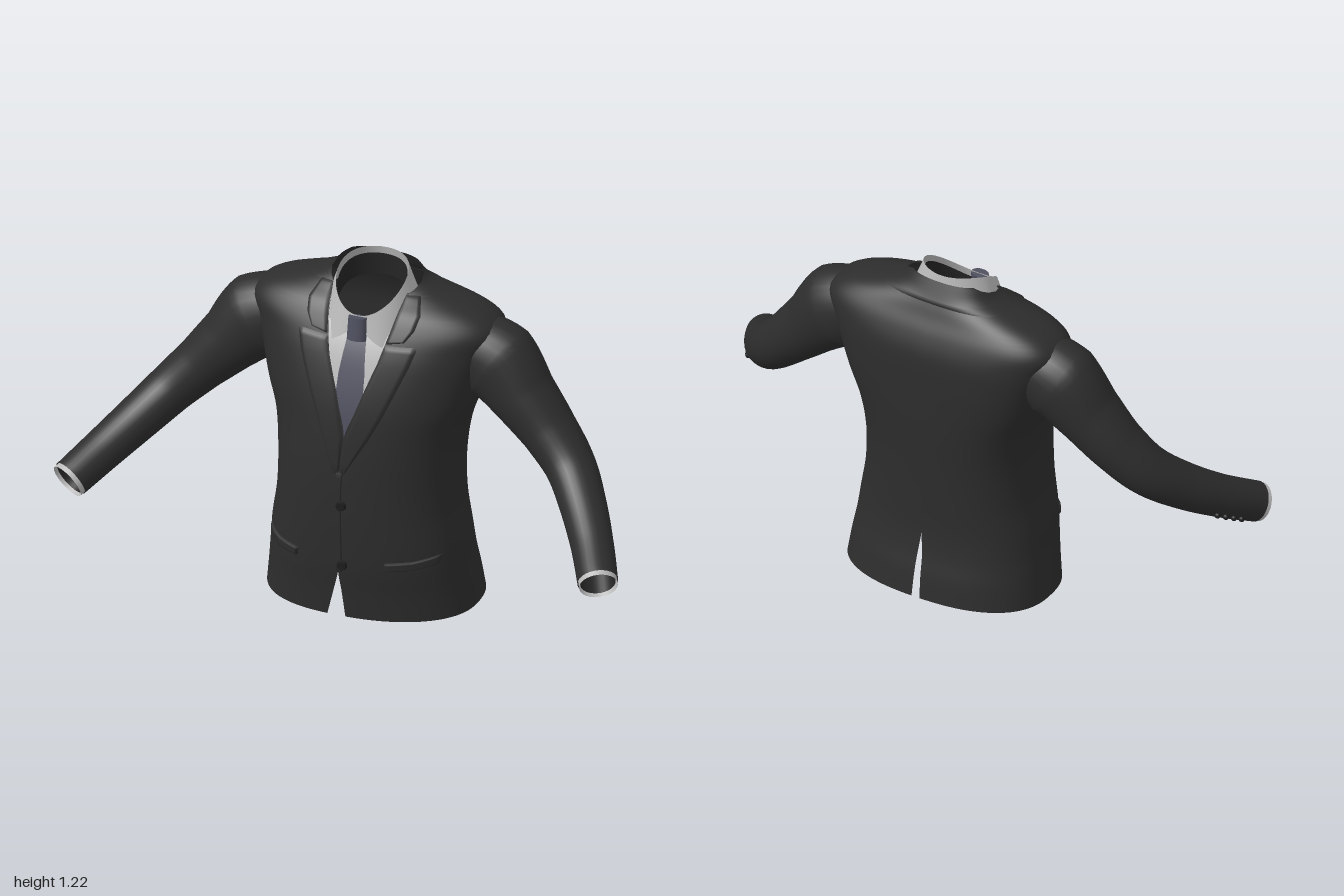
import * as THREE from 'three';

const mat = (name, color) => {
  const m = new THREE.MeshStandardMaterial({ color, side: THREE.DoubleSide });
  m.name = name;
  return m;
};

// Torso profile by height: y, half width, front z, back z, front gap, back gap
const ROWS = [
  [0.00, 0.364, 0.155, -0.337, 0.032, 0.015],
  [0.10, 0.352, 0.166, -0.325, 0.014, 0.012],
  [0.18, 0.342, 0.178, -0.310, 0, 0.009],
  [0.27, 0.332, 0.185, -0.298, 0, 0],
  [0.40, 0.312, 0.190, -0.297, 0, 0],
  [0.55, 0.310, 0.188, -0.300, 0, 0],
  [0.68, 0.325, 0.178, -0.305, 0, 0],
  [0.78, 0.358, 0.163, -0.306, 0.030, 0],
  [0.88, 0.385, 0.137, -0.305, 0.064, 0],
  [0.97, 0.412, 0.104, -0.297, 0.095, 0],
  [1.04, 0.430, 0.066, -0.272, 0.110, 0],
  [1.09, 0.365, 0.030, -0.245, 0.119, 0],
  [1.12, 0.272, -0.003, -0.230, 0.124, 0],
  [1.15, 0.180, -0.025, -0.213, 0.127, 0],
  [1.20, 0.137, -0.030, -0.187, 0.127, 0],
];
const { lerp, clamp, smoothstep } = THREE.MathUtils;
const profile = new THREE.CubicInterpolant(ROWS.map(r => r[0]), ROWS.flatMap(r => r.slice(1)), 5, new Float32Array(5));
const FRONT_POWER = 2.35;
// The back is flatter across the shoulder blades
const backPower = y => 2.4 + 0.7 * smoothstep(y, 0.5, 0.9) * (1 - smoothstep(y, 1.06, 1.16));
// The front edge lies off centre towards the hem
const shift = y => -0.025 * (1 - smoothstep(y, 0.45, 0.8)) - 0.018 * Math.max(0, 1 - y / 0.2);

// Point on the torso; t runs from 0 (front) to PI (back) on side s
function torsoPoint(t, y, s, off = 0) {
  const [a, zf, zb] = profile.evaluate(y);
  const c = Math.cos(t), h = (zf - zb) / 2 + off;
  const e = 2 / (c > 0 ? FRONT_POWER : backPower(y));
  const x = (a + off) * Math.max(0, Math.sin(t)) ** e;
  const z = (zf + zb) / 2 + h * Math.sign(c) * Math.abs(c) ** e;
  const hem = Math.max(0, 1 - y / 0.2) * 0.03 * (0.5 - 0.5 * c);
  return [s * x + shift(y) * Math.max(0, c) ** 2, y + hem, z];
}
// Angles of the front opening and of the back vent; the neck edge slopes to the back
function frontEdge(y) {
  const [a, , , w] = profile.evaluate(y);
  const t = Math.asin(clamp(w / a, 0, 1) ** (FRONT_POWER / 2));
  return lerp(t, 2.2, clamp((y - 1.14) / 0.06, 0, 1));
}
function backEdge(y) {
  const [a, , , , wb] = profile.evaluate(y);
  return Math.PI - Math.asin(clamp(wb / a, 0, 1) ** (backPower(y) / 2));
}
// Point on the torso front above a given x
function frontPoint(x, y, off) {
  const [a, zf, zb] = profile.evaluate(y);
  const k = 1 - Math.min(1, Math.abs(x) / a) ** FRONT_POWER;
  return [x + shift(y) * k, y, (zf + zb) / 2 + (zf - zb) / 2 * k ** (1 / FRONT_POWER) + off];
}

// Smooth sheet from a rule f(u, v) -> [x, y, z]; quads wholly hidden are left out
function sheet(name, material, nu, nv, f, wrap = false, hidden = () => false) {
  const points = [], idx = [], cols = wrap ? nu : nu + 1;
  for (let j = 0; j <= nv; j++) for (let i = 0; i < cols; i++) points.push(f(i / nu, j / nv));
  const hide = points.map(hidden);
  for (let j = 0; j < nv; j++) for (let i = 0; i < nu; i++) {
    const a = j * cols + i, b = j * cols + (i + 1) % cols;
    if (hide[a] && hide[b] && hide[a + cols] && hide[b + cols]) continue;
    idx.push(a, b, a + cols, b, b + cols, a + cols);
  }
  const g = new THREE.BufferGeometry();
  g.setAttribute('position', new THREE.Float32BufferAttribute(points.flat(), 3));
  g.setIndex(idx);
  g.computeVertexNormals();
  const mesh = new THREE.Mesh(g, material);
  mesh.name = name;
  return mesh;
}

// Position along a polyline with evenly spaced parameters
function along(line, v) {
  const k = Math.min(line.length - 2, Math.floor(v * (line.length - 1)));
  const f = v * (line.length - 1) - k;
  return line[k].map((p, i) => lerp(p, line[k + 1][i], f));
}
// Piece lying on the torso front between two edge lines; raised pieces turn down at the rim
function patch(name, material, edgeA, edgeB, off, s = 1) {
  return sheet(name, material, 10, 24, (u, v) => {
    const A = along(edgeA, v), B = along(edgeB, v);
    const rim = off > 0 && (u === 0 || u === 1 || v === 0 || v === 1);
    return frontPoint(s * lerp(A[0], B[0], u), lerp(A[1], B[1], u), rim ? -0.002 : off);
  });
}

// Sleeve path: x, y, z, radius across, radius in depth
const ARM = [
  [0.335, 0.955, -0.113, 0.124, 0.116],
  [0.425, 0.908, -0.110, 0.147, 0.122],
  [0.522, 0.808, -0.096, 0.112, 0.110],
  [0.620, 0.705, -0.078, 0.093, 0.098],
  [0.710, 0.613, -0.038, 0.083, 0.088],
  [0.790, 0.530, 0.048, 0.077, 0.080],
  [0.870, 0.450, 0.160, 0.071, 0.072],
  [0.938, 0.383, 0.275, 0.067, 0.068],
];
const armCurve = new THREE.CatmullRomCurve3(ARM.map(p => new THREE.Vector3(p[0], p[1], p[2])));
function armPoint(u, angle, s, scale = 1, extra = 0) {
  const c = armCurve.getPoint(u), T = armCurve.getTangent(u);
  const N = new THREE.Vector3(0, 0, 1).cross(T).normalize();
  const B = T.clone().cross(N);
  const r = along(ARM, u);
  c.addScaledVector(N, r[3] * scale * Math.cos(angle)).addScaledVector(B, r[4] * scale * Math.sin(angle)).addScaledVector(T, extra);
  return [s * c.x, c.y, c.z];
}
// The body is open where the sleeve joins it
const armhole = armCurve.getPoints(70).slice(0, 16);
const inSleeve = ([x, y, z]) => armhole.some(c => Math.hypot(Math.abs(x) - c.x, y - c.y, z - c.z) < 0.102);

// Shirt collar: neck ring, top edge, and (drop, spread) of its lower edge from front to back
const neck = (a, k) => [0.12 * k * Math.sin(a), -0.05 + 0.122 * k * Math.cos(a)];
const neckTop = a => 1.217 - 0.135 * ((1 + Math.cos(a)) / 2) ** 2;
const WING = [[0.025, 1.0], [0.125, 1.33], [0.11, 1.27], [0.1, 1.32], [0.09, 1.2], [0.06, 1.08]];

export function createModel() {
  const cloth = mat('charcoal cloth', 0x2d2d2d);
  const lining = mat('dark lining', 0x242424);
  const linen = mat('pale shirt', 0xb9b9b9);
  const silk = mat('slate tie', 0x4e4f5e);
  const horn = mat('black button', 0x1d1d1d);
  const model = new THREE.Group();
  model.name = 'suitJacket';
  const add = (...m) => model.add(...m);

  for (const s of [1, -1]) {
    const side = s > 0 ? 'left' : 'right';

    // Body half, open along the front edge and the back vent
    add(sheet(side + 'Body', cloth, 64, 90, (u, v) => {
      const y = 1.2 * v;
      return torsoPoint(lerp(frontEdge(y), backEdge(y), u), y, s);
    }, false, inSleeve));

    // Lapel and front part of the collar, with a notch between
    add(patch(side + 'Lapel', cloth,
      [[0.0, 0.54], [0.002, 0.68], [0.046, 0.83], [0.085, 0.94], [0.101, 1.0]],
      [[0.015, 0.54], [0.085, 0.68], [0.15, 0.83], [0.195, 0.94], [0.215, 1.005]], 0.007, s));
    add(patch(side + 'CollarFront', cloth,
      [[0.101, 1.0], [0.112, 1.05], [0.121, 1.1], [0.127, 1.14]],
      [[0.165, 1.012], [0.192, 1.05], [0.2, 1.09], [0.175, 1.138]], 0.007, s));

    // Hip pocket flap
    add(patch(side + 'PocketFlap', cloth,
      [[0.15, 0.232], [0.235, 0.24], [0.305, 0.256]],
      [[0.155, 0.202], [0.235, 0.208], [0.3, 0.222]], 0.012, s));

    // Sleeve, shirt cuff and cuff buttons
    add(sheet(side + 'Sleeve', cloth, 28, 56, (u, v) => armPoint(v, u * Math.PI * 2, s), true));
    add(sheet(side + 'ShirtCuff', linen, 28, 2, (u, v) =>
      armPoint(1, u * Math.PI * 2, s, 0.95, lerp(-0.03, 0.016, v)), true));
    add(sheet(side + 'CuffLining', lining, 28, 2, (u, v) =>
      armPoint(1, u * Math.PI * 2, s, 0.87, lerp(-0.08, 0.004, v)), true));
    for (let i = 0; i < 4; i++) {
      const b = new THREE.Mesh(new THREE.SphereGeometry(0.011, 10, 8), horn);
      b.name = side + 'CuffButton';
      b.position.set(...armPoint(0.84 + i * 0.03, -1.6, s, 1.02));
      add(b);
    }
  }

  // Folded collar around the back of the neck
  add(sheet('collarBack', cloth, 64, 8, (u, v) => {
    const q = lerp(-1, 1, u), y = lerp(1.128, 1.2, v);
    const t = lerp(Math.PI, frontEdge(y), Math.abs(q));
    return torsoPoint(t, y, q < 0 ? -1 : 1, v === 0 ? -0.002 : 0.005 * (1 - v * 0.5));
  }));

  // Overlapping front edge
  add(patch('frontOverlap', cloth, [[-0.012, 0.17], [-0.012, 0.36], [-0.012, 0.56]], [[0.014, 0.17], [0.014, 0.36], [0.014, 0.56]], 0.004));

  // Front buttons
  for (const y of [0.43, 0.205]) {
    const b = new THREE.Mesh(new THREE.CylinderGeometry(0.015, 0.018, 0.012, 18), horn);
    b.name = 'frontButton';
    b.rotation.x = Math.PI / 2;
    b.position.set(...frontPoint(0.014, y, 0.007));
    add(b);
  }

  // Shirt front and tie
  const shirtEdge = s => [[s * 0.02, 0.66], [s * 0.055, 0.78], [s * 0.1, 0.91], [s * 0.125, 1.04]];
  add(patch('shirtFront', linen, shirtEdge(-1), shirtEdge(1), -0.013));
  const tieEdge = s => [[s * 0.046, 0.66], [s * 0.05, 0.78], [s * 0.046, 0.89], [s * 0.033, 1.01]];
  add(patch('tieBlade', silk, tieEdge(-1), tieEdge(1), -0.004));
  const knot = new THREE.Mesh(new THREE.CylinderGeometry(0.032, 0.034, 0.08, 16), silk);
  knot.name = 'tieKnot';
  knot.scale.z = 0.65;
  knot.rotation.x = -0.12;
  knot.position.set(0, 1.04, 0.081);
  add(knot);

  // Shirt collar with pointed wings and a dark inside
  add(sheet('shirtCollar', linen, 60, 6, (u, v) => {
    const a = lerp(-Math.PI, Math.PI, u);
    const [drop, spread] = along(WING, Math.abs(a) / Math.PI);
    const [x, z] = neck(a, lerp(1, spread, v));
    return [x, neckTop(a) - drop * v, z];
  }));
  add(sheet('collarLining', lining, 48, 3, (u, v) => {
    const a = u * Math.PI * 2, [x, z] = neck(a, 0.96);
    return [x, neckTop(a) - lerp(0.022, 0.1, v), z];
  }, true));

  return model;
}
